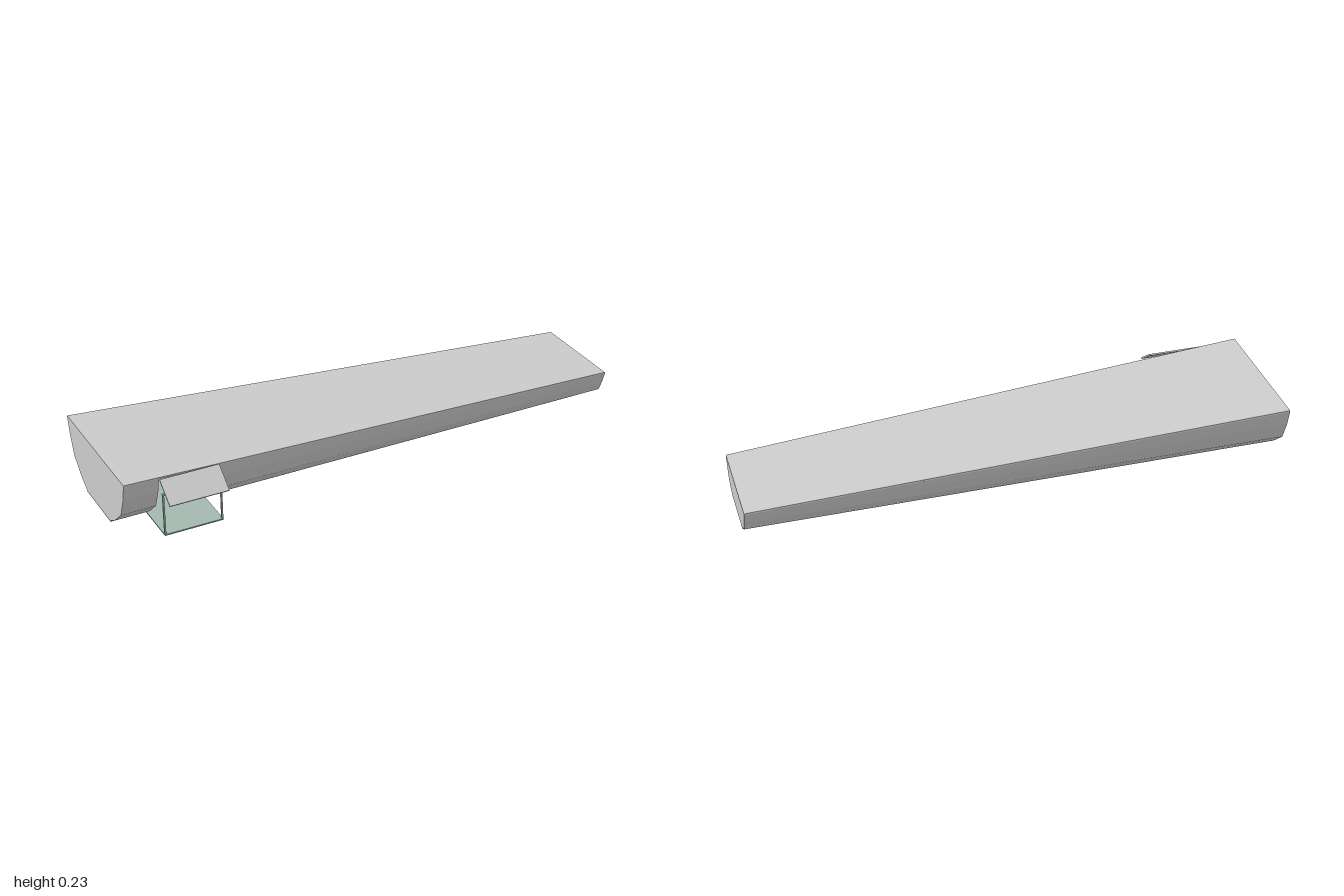
import * as THREE from 'three';

const CZ = -0.04; // centre line of the hull
const HATCH = { x0: -0.87, x1: -0.65 };
const grey = new THREE.MeshStandardMaterial({ color: 0xcccccc, flatShading: true, side: THREE.DoubleSide });
const green = new THREE.MeshStandardMaterial({ color: 0xa4b8b0, flatShading: true, side: THREE.DoubleSide });

// half cross-sections [half width, height] at the wide and narrow ends
const WIDE = [[0.112, 0.006], [0.156, 0.03], [0.224, 0.09], [0.254, 0.165], [0.268, 0.226]];
const NARROW = [[0.112, 0.006], [0.156, 0.03], [0.174, 0.068], [0.184, 0.096], [0.19, 0.114]];
const ratio = x => (x + 1) / 2;
const section = x => WIDE.map(([w, y], i) => [
  THREE.MathUtils.lerp(w, NARROW[i][0], ratio(x)),
  THREE.MathUtils.lerp(y, NARROW[i][1], ratio(x)),
]);
const roofY = x => 0.232 - 0.112 * ratio(x);

function mesh(name, geometry, material = grey) {
  const m = new THREE.Mesh(geometry, material);
  m.name = name;
  return m;
}

function box(name, w, h, d, x, y, z, material) {
  const m = mesh(name, new THREE.BoxGeometry(w, h, d), material);
  m.position.set(x, y, z);
  return m;
}

function surface(triangles) {
  const g = new THREE.BufferGeometry();
  g.setAttribute('position', new THREE.Float32BufferAttribute(triangles.flat(), 3));
  g.computeVertexNormals();
  return g;
}

// faceted side of the hull; the front one leaves the hatch open
function hullSide(side, open) {
  const stations = [-1, HATCH.x0, HATCH.x1];
  for (let i = 1; i <= 12; i++) stations.push(HATCH.x1 + (1 - HATCH.x1) * i / 12);
  const tris = [];
  for (let s = 0; s < stations.length - 1; s++) {
    const xa = stations[s], xb = stations[s + 1];
    if (open && xa === HATCH.x0) continue;
    const A = section(xa), B = section(xb);
    const at = (x, [w, y]) => [x, y, CZ + side * w];
    for (let i = 0; i < A.length - 1; i++) {
      const a = at(xa, A[i]), b = at(xb, B[i]), c = at(xb, B[i + 1]), d = at(xa, A[i + 1]);
      if (side > 0) tris.push(a, b, c, a, c, d);
      else tris.push(a, c, b, a, d, c);
    }
  }
  return surface(tris);
}

// flat wall closing one end
function endWall(x) {
  const S = section(x), tris = [];
  for (let i = 0; i < S.length - 1; i++) {
    const [w0, y0] = S[i], [w1, y1] = S[i + 1];
    const a = [x, y0, CZ + w0], b = [x, y0, CZ - w0], c = [x, y1, CZ - w1], d = [x, y1, CZ + w1];
    if (x > 0) tris.push(a, b, c, a, c, d);
    else tris.push(a, c, b, a, d, c);
  }
  return surface(tris);
}

// thin sloping tapered slab
function roofSlab() {
  const shape = new THREE.Shape([
    new THREE.Vector2(-1, CZ - 0.268), new THREE.Vector2(1, CZ - 0.19),
    new THREE.Vector2(1, CZ + 0.19), new THREE.Vector2(-1, CZ + 0.268),
  ]);
  const g = new THREE.ExtrudeGeometry(shape, { depth: 0.006, bevelEnabled: false });
  g.rotateX(Math.PI / 2);
  const p = g.attributes.position;
  for (let i = 0; i < p.count; i++) p.setY(i, p.getY(i) + roofY(p.getX(i)));
  g.computeVertexNormals();
  return g;
}

export function createModel() {
  const model = new THREE.Group();
  model.name = 'taperedCabin';

  // shell
  model.add(
    mesh('frontHull', hullSide(1, true)),
    mesh('backHull', hullSide(-1, false)),
    mesh('wideEndWall', endWall(-1)),
    mesh('narrowEndWall', endWall(1)),
    mesh('roof', roofSlab()),
    box('floor', 2, 0.008, 0.224, 0, 0.004, CZ, green),
  );

  // lower hatch leaf folded down as a deck, with a slim railing
  const width = HATCH.x1 - HATCH.x0, mid = (HATCH.x0 + HATCH.x1) / 2;
  const deck = new THREE.Group();
  deck.name = 'deck';
  deck.add(box('deckFloor', width, 0.005, 0.177, mid, 0.006, 0.1595, green));
  for (const x of [HATCH.x0 + 0.003, HATCH.x1 - 0.003]) {
    deck.add(box('railPost', 0.006, 0.158, 0.006, x, 0.085, 0.244, green));
  }
  deck.add(box('handRail', width, 0.006, 0.01, mid, 0.167, 0.244, green));
  model.add(deck);

  // upper hatch leaf propped open as an awning
  const awning = box('awning', width, 0.006, 0.102, mid, 0.187, 0.268);
  awning.rotation.x = Math.atan2(0.061, 0.081);
  model.add(awning);

  return model;
}
